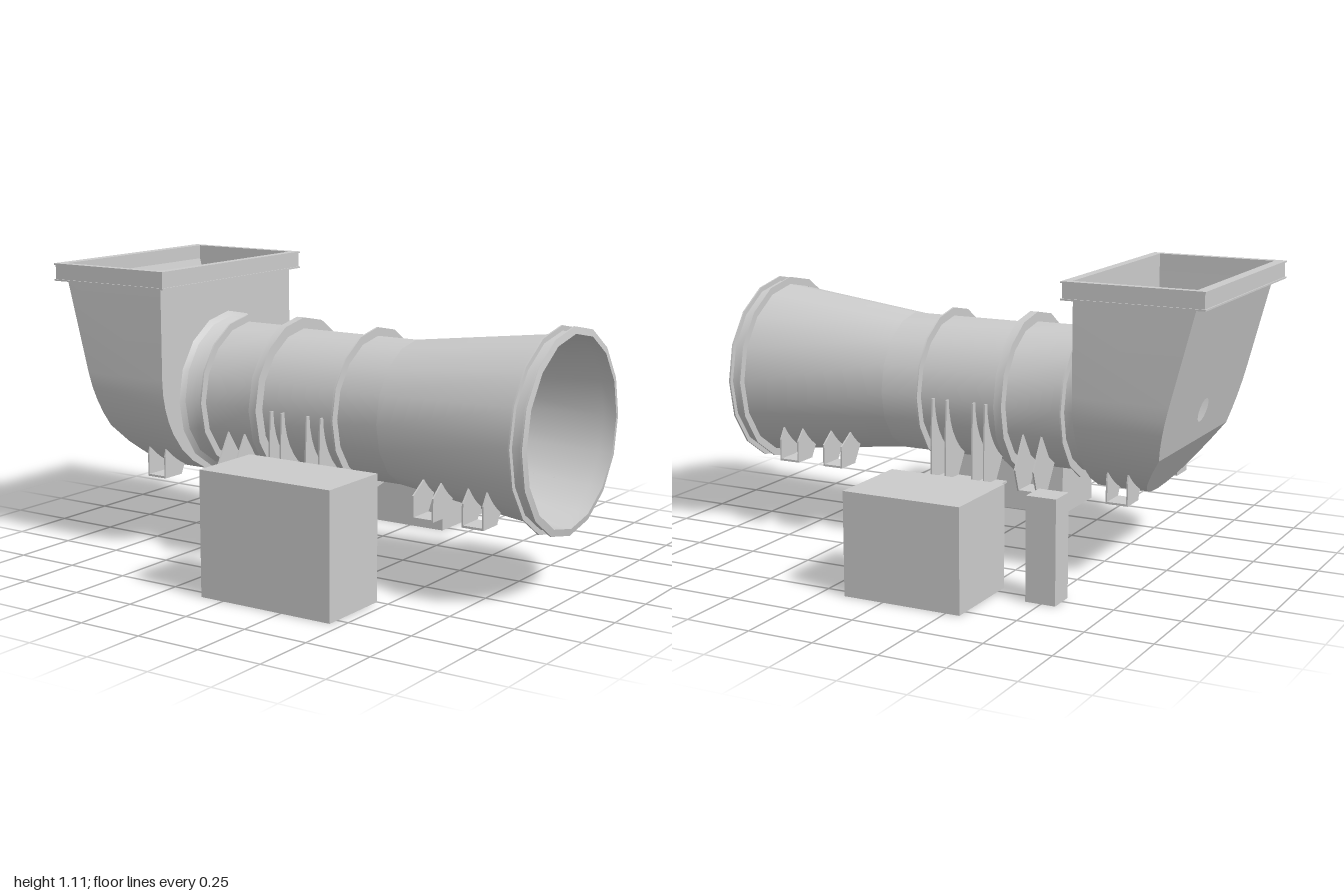
import * as THREE from 'three';
import { toCreasedNormals } from 'three/addons/utils/BufferGeometryUtils.js';

const AXIS_Y = 0.6, AXIS_Z = 0.092, SIDES = 16;
const material = new THREE.MeshStandardMaterial({ color: 0xcccccc, side: THREE.DoubleSide });

function add(parent, name, geometry) {
  const mesh = new THREE.Mesh(geometry, material);
  mesh.name = name;
  parent.add(mesh);
  return mesh;
}

function box(parent, name, x0, x1, y0, y1, z0, z1) {
  const mesh = add(parent, name, new THREE.BoxGeometry(x1 - x0, y1 - y0, z1 - z0));
  mesh.position.set((x0 + x1) / 2, (y0 + y1) / 2, (z0 + z1) / 2);
}

// Revolve [x, radius] points about the duct axis
function revolve(parent, name, points) {
  const geo = new THREE.LatheGeometry(points.map(([x, r]) => new THREE.Vector2(r, x)), SIDES);
  geo.rotateZ(-Math.PI / 2);
  add(parent, name, toCreasedNormals(geo, 0.5));
}

const ring = (parent, name, x0, x1, r0, r1) =>
  revolve(parent, name, [[x0, r0], [x0, r1], [x1, r1], [x1, r0], [x0, r0]]);

// Inlet box: U-shaped section, centred on the duct axis
const TOP = 0.45, ARC_Y = 0.09, ARC_R = 0.408, BEND = -0.12;
const bendAngle = Math.asin((ARC_Y - BEND) / ARC_R);

function arc(a0, a1, n) {
  return Array.from({ length: n + 1 }, (_, i) => {
    const a = a0 + (a1 - a0) * i / n;
    return new THREE.Vector2(ARC_R * Math.cos(a), ARC_Y - ARC_R * Math.sin(a));
  });
}

// x of the sloping rear wall at height y
const rearX = y => y > BEND
  ? -0.81 - 0.15 * (y - BEND) / (TOP - BEND)
  : -0.81 + 0.14 * (BEND - y) / (BEND - ARC_Y + ARC_R);

// Flat (z, y) panel moved onto x = f(y)
function panel(parent, name, points, f, holeRadius) {
  const shape = new THREE.Shape(points);
  if (holeRadius) {
    shape.holes.push(new THREE.Path().absarc(0, 0, holeRadius, 0, Math.PI * 2, true));
  }
  const geo = new THREE.ShapeGeometry(shape, 8);
  const p = geo.attributes.position;
  for (let i = 0; i < p.count; i++) p.setXYZ(i, f(p.getY(i)), p.getY(i), p.getX(i));
  geo.computeVertexNormals();
  add(parent, name, geo);
}

function inletBox() {
  const g = new THREE.Group();
  g.name = 'inletBox';
  const right = arc(0, bendAngle, 4);
  const bottom = arc(bendAngle, Math.PI - bendAngle, 10);
  const left = arc(Math.PI - bendAngle, Math.PI, 4);
  const section = [
    new THREE.Vector2(ARC_R, TOP), ...right, ...bottom.slice(1, -1), ...left,
    new THREE.Vector2(-ARC_R, TOP),
  ];
  panel(g, 'ductWall', section, () => -0.5, 0.295);
  panel(g, 'rearWall', [section[0], ...right, ...left, section[section.length - 1]], rearX, 0.045);
  panel(g, 'lowerRearWall', bottom, rearX);

  // Sides and rounded bottom
  const n = section.length;
  const shell = new THREE.PlaneGeometry(1, 1, n - 1, 1);
  const p = shell.attributes.position;
  for (let i = 0; i < p.count; i++) {
    const s = section[i % n];
    p.setXYZ(i, i < n ? -0.5 : rearX(s.y), s.y, s.x);
  }
  add(g, 'curvedShell', toCreasedNormals(shell, 0.5));
  return g;
}

// Rectangular frame with a shallow outward channel
function frame(parent, name, y0, y1, inset) {
  const rect = (Type, x0, x1, z) => new Type([[x0, -z], [x1, -z], [x1, z], [x0, z]]
    .map(([a, b]) => new THREE.Vector2(a, b)));
  const shape = rect(THREE.Shape, -1 + inset, -0.465 - inset, 0.438 - inset);
  shape.holes.push(rect(THREE.Path, -0.96, -0.5, ARC_R));
  const geo = new THREE.ExtrudeGeometry(shape, { depth: y1 - y0, bevelEnabled: false });
  geo.rotateX(-Math.PI / 2).translate(0, y0, 0);
  add(parent, name, geo);
}

// Gusset between the duct surface and a foot, on side s
function gusset(parent, x, radius, centreY, topY, outer, s) {
  const top = Math.asin((topY - centreY) / radius);
  const end = Math.atan2(-0.31 - centreY, 0.195);
  const pts = [[0.195, -0.31], ...outer];
  for (let i = 0; i <= 6; i++) {
    const a = top + (end - top) * i / 6;
    pts.push([radius * Math.cos(a), centreY + radius * Math.sin(a)]);
  }
  const shape = new THREE.Shape(pts.map(([u, y]) => new THREE.Vector2(u * s, y)));
  const geo = new THREE.ExtrudeGeometry(shape, { depth: 0.006, bevelEnabled: false });
  geo.rotateY(-Math.PI / 2).translate(x + 0.003, 0, 0);
  add(parent, 'gusset', geo);
}

function foot(parent, name, xs, base, radiusAt, centreY, topY, outer) {
  for (const s of [-1, 1]) {
    const g = new THREE.Group();
    g.name = name;
    for (const x of xs) gusset(g, x, radiusAt(x), centreY, topY, outer, s);
    box(g, 'basePlate', base[0], base[1], -0.315, -0.307,
      Math.min(s * 0.195, s * 0.295), Math.max(s * 0.195, s * 0.295));
    parent.add(g);
  }
}

export function createModel() {
  const model = new THREE.Group();
  model.name = 'axialFanInstallation';
  const fan = new THREE.Group();
  fan.name = 'fan';
  fan.position.set(0, AXIS_Y, AXIS_Z);
  model.add(fan);

  // Inlet box with its rim
  fan.add(inletBox());
  frame(fan, 'rimLowerLip', 0.438, 0.444, 0);
  frame(fan, 'rimWeb', 0.444, 0.499, 0.005);
  frame(fan, 'rimUpperLip', 0.499, 0.505, 0);

  // Bellmouth, casing and diffuser
  revolve(fan, 'bellmouth', [[-0.5, 0.31], [-0.485, 0.292], [-0.45, 0.279], [-0.405, 0.27]]);
  revolve(fan, 'casing', [[-0.405, 0.27], [0.36, 0.27]]);
  revolve(fan, 'diffuser', [[0.36, 0.27], [0.95, 0.342], [1, 0.345]]);

  // Flanges and stiffening rings
  ring(fan, 'inletRing', -0.408, -0.402, 0.27, 0.302);
  ring(fan, 'casingSleeve', -0.4, -0.17, 0.27, 0.275);
  ring(fan, 'casingFlange', -0.172, -0.14, 0.27, 0.312);
  ring(fan, 'casingRing', 0.187, 0.194, 0.27, 0.302);
  revolve(fan, 'outletFlange', [
    [0.942, 0.342], [0.942, 0.371], [0.948, 0.371], [0.948, 0.352],
    [0.989, 0.352], [0.989, 0.371], [0.995, 0.371], [1, 0.345],
  ]);

  // Feet, mirrored on both sides of the axis
  const straight = () => 0.27;
  const cone = x => 0.27 + 0.122 * (x - 0.36);
  const plain = [[0.295, -0.31], [0.295, -0.23]];
  foot(fan, 'inletBoxFoot', [-0.67, -0.59], [-0.673, -0.587], () => ARC_R, ARC_Y, -0.2, plain);
  foot(fan, 'casingFoot', [-0.31, -0.235], [-0.313, -0.232], straight, 0, -0.1,
    [[0.295, -0.31], [0.325, -0.225]]);
  foot(fan, 'mainFoot', [-0.092, -0.042, 0.07, 0.13], [-0.14, 0.19], straight, 0, 0,
    [[0.295, -0.31], [0.295, -0.18], [0.288, 0]]);
  for (const x of [0.53, 0.73]) {
    foot(fan, 'diffuserFoot', [x, x + 0.08], [x - 0.003, x + 0.083], cone, 0, -0.185, plain);
  }

  // Separate equipment blocks
  box(model, 'frontBlock', -0.095, 0.455, 0, 0.463, 0.5, 0.795);
  box(model, 'rearBlock', -0.305, 0.155, 0, 0.385, -0.797, -0.455);
  box(model, 'smallRearBlock', -0.555, -0.44, 0, 0.385, -0.56, -0.455);
  return model;
}
